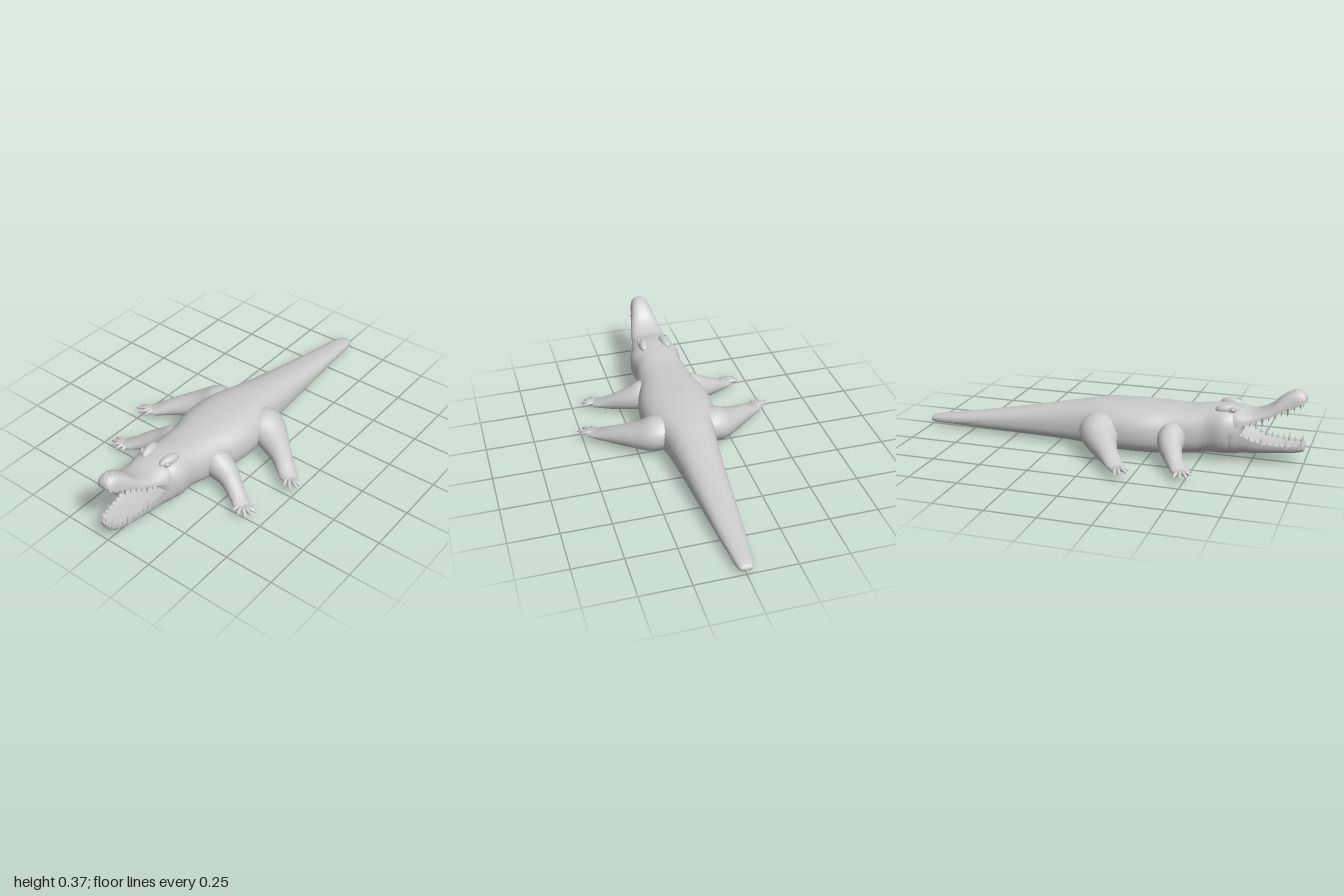
import * as THREE from 'three';
import { toCreasedNormals } from 'three/addons/utils/BufferGeometryUtils.js';

const V = (x, y, z) => new THREE.Vector3(x, y, z);
const grey = new THREE.MeshStandardMaterial({ color: 0xcccccc });
const pow = (v, e) => Math.sign(v) * Math.abs(v) ** e;

// Skin over a list of rings, smoothed lengthwise by a spline, capped at both ends
function skin(rings, steps, crease = 0.9) {
  const cols = rings[0].map((_, j) =>
    new THREE.CatmullRomCurve3(rings.map(r => r[j])).getPoints((rings.length - 1) * steps));
  const n = cols.length, m = cols[0].length, pos = [], idx = [];
  for (let i = 0; i < m; i++) for (const c of cols) pos.push(...c[i].toArray());
  for (let i = 0; i < m - 1; i++) for (let j = 0; j < n; j++) {
    const a = i * n + j, b = i * n + (j + 1) % n;
    idx.push(a, b, a + n, b, b + n, a + n);
  }
  for (const i of [0, m - 1]) {
    const centre = cols.reduce((s, c) => s.add(c[i]), V(0, 0, 0)).divideScalar(n);
    const k = pos.length / 3;
    pos.push(...centre.toArray());
    for (let j = 0; j < n; j++) {
      const a = i * n + j, b = i * n + (j + 1) % n;
      if (i) idx.push(a, b, k); else idx.push(b, a, k);
    }
  }
  const g = new THREE.BufferGeometry();
  g.setAttribute('position', new THREE.Float32BufferAttribute(pos, 3));
  g.setIndex(idx);
  return toCreasedNormals(g, crease);
}

// Trunk rows: z, half width, bottom, widest height, top
// (a bottom above the widest height, or a top below it, gives a hollow)
function trunk(rows, e, crease) {
  return skin(rows.map(([z, w, lo, mid, hi]) => Array.from({ length: 32 }, (_, j) => {
    const t = j / 32 * Math.PI * 2, s = Math.sin(t);
    return V(w * pow(Math.cos(t), e), mid + (s > 0 ? hi - mid : mid - lo) * pow(s, e), z);
  })), 4, crease);
}

// Limb rows: x, y, z, half width, half height
function limb(rows, side, count) {
  const pts = rows.map(r => V(r[0] * side, r[1], r[2]));
  return skin(rows.map((r, i) => {
    const d = pts[Math.min(i + 1, pts.length - 1)].clone().sub(pts[Math.max(i - 1, 0)]).setY(0).normalize();
    const across = V(0, 1, 0).cross(d);
    return Array.from({ length: count }, (_, j) => {
      const t = j / count * Math.PI * 2;
      return pts[i].clone().addScaledVector(across, r[3] * Math.cos(t)).add(V(0, r[4] * Math.sin(t), 0));
    });
  }), 3, 1.2);
}

// Value of trunk rows at a given z
function rowAt(rows, z) {
  const i = Math.max(1, rows.findIndex(r => r[0] >= z));
  const a = rows[i - 1], b = rows[i], t = (z - a[0]) / (b[0] - a[0]);
  return a.map((v, k) => v + (b[k] - v) * t);
}

const BODY = [
  [-1, 0.026, 0.02, 0.03, 0.042], [-0.985, 0.036, 0.016, 0.03, 0.05], [-0.8, 0.06, 0.015, 0.045, 0.083],
  [-0.5, 0.09, 0.013, 0.065, 0.14], [-0.2, 0.12, 0.01, 0.085, 0.203], [-0.08, 0.14, 0.004, 0.095, 0.228],
  [0.03, 0.18, 0, 0.1, 0.238], [0.15, 0.193, 0, 0.105, 0.244], [0.25, 0.186, 0, 0.11, 0.245],
  [0.35, 0.158, 0.004, 0.115, 0.247], [0.45, 0.145, 0.012, 0.125, 0.25], [0.53, 0.13, 0.024, 0.14, 0.262],
  [0.61, 0.139, 0.026, 0.155, 0.27], [0.655, 0.127, 0.032, 0.16, 0.268], [0.69, 0.11, 0.04, 0.165, 0.25],
];
const UPPER = [
  [0.57, 0.09, 0.2, 0.17, 0.265], [0.67, 0.116, 0.215, 0.185, 0.268], [0.75, 0.097, 0.232, 0.21, 0.257],
  [0.83, 0.08, 0.258, 0.24, 0.291], [0.88, 0.068, 0.282, 0.265, 0.337], [0.94, 0.054, 0.305, 0.292, 0.373],
  [0.975, 0.046, 0.315, 0.306, 0.37], [0.993, 0.036, 0.318, 0.315, 0.357], [1, 0.022, 0.323, 0.328, 0.342],
];
const LOWER = [
  [0.57, 0.1, 0.04, 0.14, 0.13], [0.65, 0.13, 0.028, 0.158, 0.14], [0.7, 0.116, 0.036, 0.15, 0.125],
  [0.77, 0.096, 0.04, 0.118, 0.1], [0.86, 0.079, 0.05, 0.102, 0.09], [0.94, 0.064, 0.058, 0.101, 0.09],
  [0.98, 0.05, 0.063, 0.104, 0.094], [1, 0.032, 0.07, 0.1, 0.094],
];
const REAR_LEG = {
  rows: [[0.06, 0.12, 0, 0.09, 0.075], [0.17, 0.115, 0.005, 0.1, 0.09], [0.24, 0.095, 0.04, 0.08, 0.07],
    [0.32, 0.075, 0.09, 0.057, 0.053], [0.38, 0.06, 0.135, 0.048, 0.038], [0.43, 0.046, 0.175, 0.044, 0.021],
    [0.46, 0.042, 0.197, 0.034, 0.014]],
  toes: [[0.52, 0.196], [0.524, 0.225], [0.492, 0.25], [0.45, 0.245]],
};
const FRONT_LEG = {
  rows: [[0.06, 0.11, 0.37, 0.065, 0.075], [0.15, 0.11, 0.37, 0.07, 0.08], [0.22, 0.09, 0.385, 0.057, 0.06],
    [0.28, 0.066, 0.415, 0.046, 0.046], [0.33, 0.046, 0.445, 0.041, 0.03], [0.37, 0.035, 0.47, 0.04, 0.018],
    [0.39, 0.031, 0.482, 0.03, 0.013]],
  toes: [[0.45, 0.46], [0.45, 0.492], [0.43, 0.52], [0.392, 0.533], [0.352, 0.525]],
};

export function createModel() {
  const model = new THREE.Group();
  const add = (name, geometry, parent = model) => {
    const mesh = new THREE.Mesh(geometry, grey);
    mesh.name = name;
    parent.add(mesh);
    return mesh;
  };

  add('bodyAndTail', trunk(BODY, 0.8, 1.2));
  add('upperJaw', trunk(UPPER, 0.8, 0.9));
  add('lowerJaw', trunk(LOWER, 0.8, 0.9));

  // Teeth, longer at the fangs
  const teeth = new THREE.Group();
  teeth.name = 'teeth';
  model.add(teeth);
  const tooth = (x, y, z, len, dir) => {
    const mesh = add('tooth', new THREE.ConeGeometry(len * 0.21, len, 6), teeth);
    mesh.position.set(x, y + dir * len * 0.35, z);
    if (dir < 0) mesh.rotation.x = Math.PI;
  };
  for (const side of [-1, 1]) {
    for (let i = 0; i < 10; i++) {
      const z = 0.715 + i * 0.029, fang = i % 4 === 3;
      const u = rowAt(UPPER, z), l = rowAt(LOWER, z);
      tooth(side * u[1] * 0.93, u[3] + 0.004, z, fang ? 0.046 : 0.03, -1);
      tooth(side * l[1] * 0.92, l[3] - 0.004, z, fang ? 0.05 : 0.03, 1);
    }
    tooth(side * 0.014, 0.318, 0.984, 0.03, -1);
    tooth(side * 0.03, 0.098, 0.988, 0.05, 1);
    tooth(side * 0.011, 0.098, 0.99, 0.032, 1);
  }

  for (const side of [-1, 1]) {
    const label = side > 0 ? 'left' : 'right';

    // Brow, eye and nostril
    const brow = add(label + 'Brow', new THREE.SphereGeometry(1, 20, 14));
    brow.scale.set(0.026, 0.028, 0.058);
    brow.position.set(side * 0.06, 0.259, 0.625);
    brow.rotation.y = side * -0.15;
    const eye = add(label + 'Eye', new THREE.SphereGeometry(0.014, 16, 12));
    eye.position.set(side * 0.075, 0.264, 0.655);
    const lid = add(label + 'Eyelid', new THREE.TorusGeometry(0.015, 0.004, 8, 20));
    lid.position.copy(eye.position).x += side * 0.004;
    lid.rotation.y = side * 1.2;
    const nostril = add(label + 'Nostril', new THREE.SphereGeometry(0.012, 12, 8));
    nostril.position.set(side * 0.018, 0.362, 0.95);

    // Legs with splayed toes
    for (const [kind, leg] of [['Rear', REAR_LEG], ['Front', FRONT_LEG]]) {
      const group = new THREE.Group();
      group.name = label + kind + 'Leg';
      model.add(group);
      add('leg', limb(leg.rows, side, 20), group);
      const [px, py, pz] = leg.rows[5];
      for (const [tx, tz] of leg.toes) {
        const at = (t, y, w, h) => [px + (tx - px) * t, y, pz + (tz - pz) * t, w, h];
        add('toe', limb([at(0.1, py, 0.012, 0.012), at(0.5, py + 0.004, 0.011, 0.011),
          at(0.8, py, 0.008, 0.008), at(1, py - 0.006, 0.002, 0.002)], side, 8), group);
      }
    }
  }
  return model;
}
